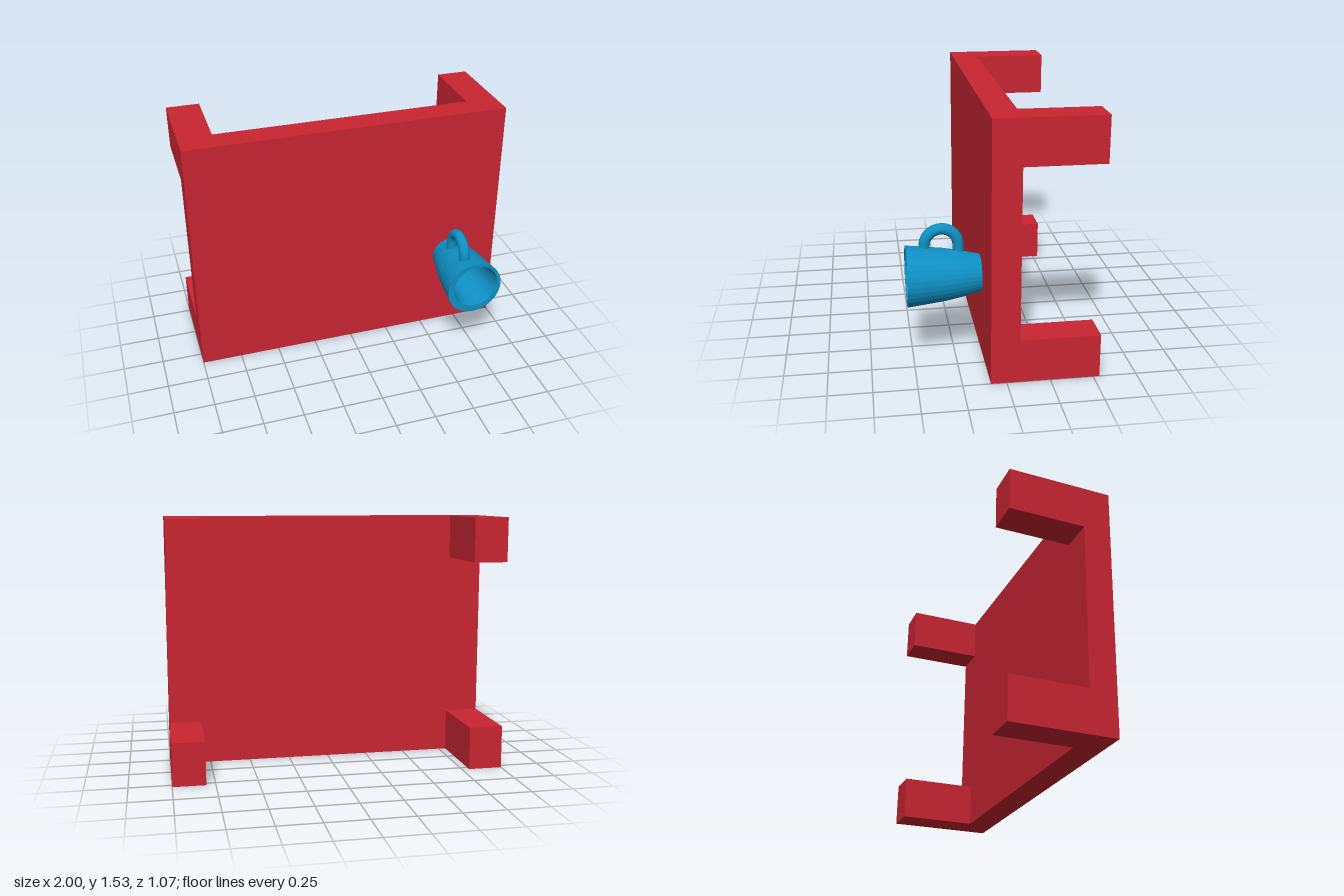
import * as THREE from 'three';

const red = new THREE.MeshStandardMaterial({ color: 0xc92532 });
const blue = new THREE.MeshStandardMaterial({ color: 0x0f90c4, flatShading: true });
const blueSmooth = new THREE.MeshStandardMaterial({ color: 0x0f90c4 });

// Box given by its minimum and maximum corners
function block(name, min, max) {
  const size = max.map((v, i) => v - min[i]);
  const mesh = new THREE.Mesh(new THREE.BoxGeometry(...size), red);
  mesh.position.set(...min.map((v, i) => (v + max[i]) / 2));
  mesh.name = name;
  return mesh;
}

// Table tipped onto its side: the top faces +z, the legs point to -z
function createTable() {
  const table = new THREE.Group();
  table.name = 'table';
  table.add(block('tableTop', [-1, 0, -0.075], [1, 1.53, 0.09]));
  for (const [x0, x1] of [[-1, -0.795], [0.805, 1]]) {
    for (const [y0, y1] of [[0, 0.26], [1.265, 1.53]]) {
      table.add(block('tableLeg', [x0, y0, -0.535], [x1, y1, -0.075]));
    }
  }
  return table;
}

// Tapered cup with its mouth towards +z
function createCup() {
  const cup = new THREE.Group();
  cup.name = 'cup';

  // Profile: base, outer wall, rim, inner wall, floor
  const profile = [
    [0, 0.107], [0.109, 0.107], [0.133, 0.21], [0.153, 0.32], [0.177, 0.532],
    [0.145, 0.532], [0.088, 0.15], [0, 0.15],
  ].map(([r, h]) => new THREE.Vector2(r, h));
  const bodyGeo = new THREE.LatheGeometry(profile, 32);
  bodyGeo.rotateX(Math.PI / 2);

  // The hollow sits slightly off centre
  const pos = bodyGeo.attributes.position;
  for (let i = 0; i < pos.count; i++) {
    if (i % profile.length >= 5) pos.setXY(i, pos.getX(i) + 0.007, pos.getY(i) + 0.011);
  }
  const body = new THREE.Mesh(bodyGeo, blue);
  body.position.set(0.672, 0.541, 0);
  body.name = 'cupBody';
  cup.add(body);

  // Arched handle whose ends run into the wall
  const R = 0.0975;
  const path = [new THREE.Vector3(0, -0.055, R)];
  for (let i = 0; i <= 12; i++) {
    const a = (i / 12) * Math.PI;
    path.push(new THREE.Vector3(0, R * Math.sin(a), R * Math.cos(a)));
  }
  path.push(new THREE.Vector3(0, -0.055, -R));
  const handle = new THREE.Mesh(
    new THREE.TubeGeometry(new THREE.CatmullRomCurve3(path), 40, 0.0325, 16), blueSmooth);
  handle.position.set(0.636, 0.71, 0.326);
  handle.name = 'cupHandle';
  cup.add(handle);

  // Caps closing the handle ends
  for (const s of [1, -1]) {
    const cap = new THREE.Mesh(new THREE.CircleGeometry(0.0325, 16), blueSmooth);
    cap.rotation.x = Math.PI / 2;
    cap.position.set(0.636, 0.655, 0.326 + s * R);
    cap.name = 'handleEnd';
    cup.add(cap);
  }
  return cup;
}

export function createModel() {
  const model = new THREE.Group();
  model.name = 'tippedTableWithCup';
  model.add(createTable(), createCup());
  return model;
}
